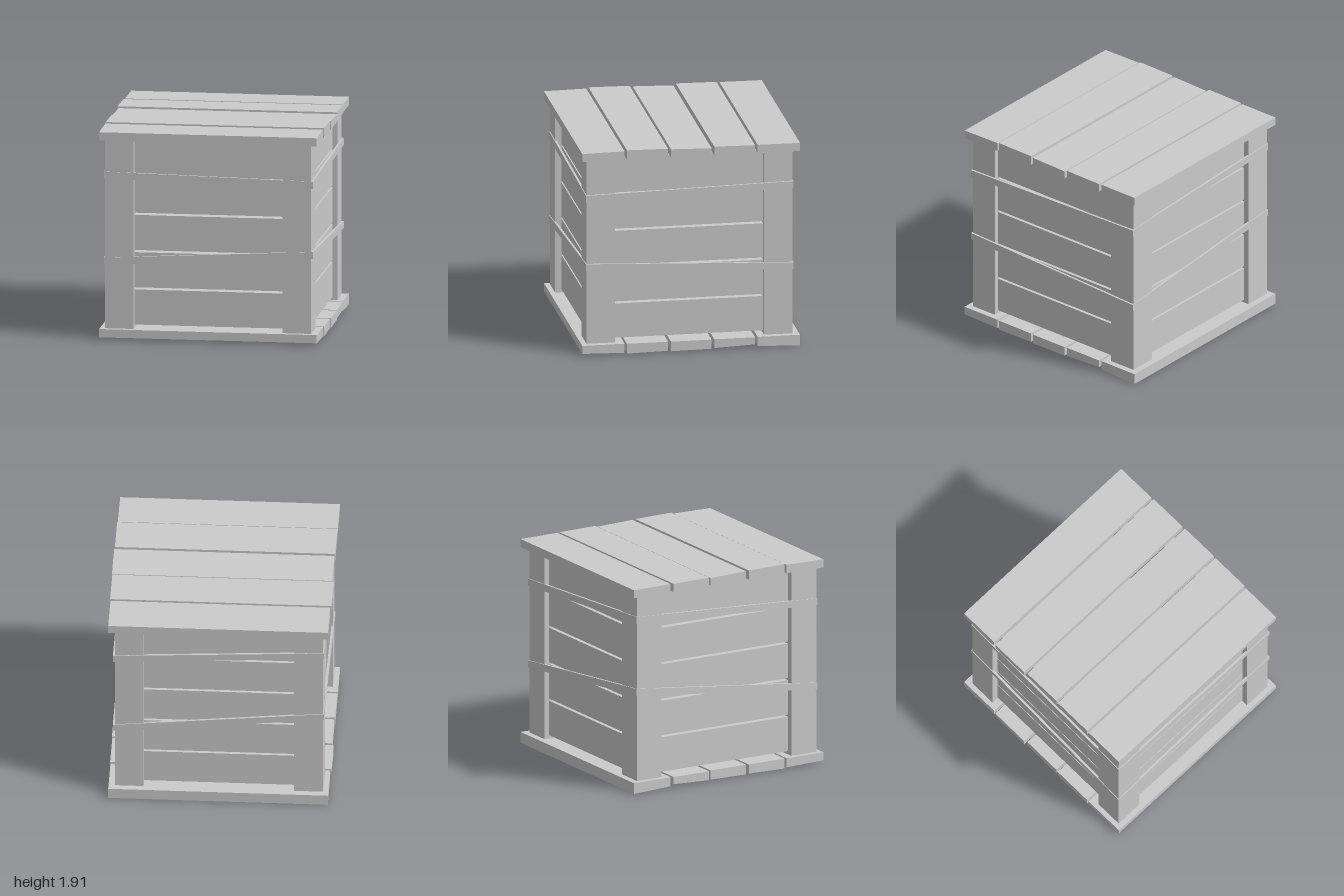
import * as THREE from 'three';

const material = new THREE.MeshStandardMaterial({ color: 0xcccccc, flatShading: true, side: THREE.DoubleSide });

// Box between two corners, with an optional rule that moves its vertices
function block(name, [x0, y0, z0], [x1, y1, z1], rule) {
  const geo = new THREE.BoxGeometry(x1 - x0, y1 - y0, z1 - z0);
  geo.translate((x0 + x1) / 2, (y0 + y1) / 2, (z0 + z1) / 2);
  if (rule) {
    const p = geo.attributes.position;
    const v = new THREE.Vector3();
    for (let i = 0; i < p.count; i++) {
      rule(v.fromBufferAttribute(p, i));
      p.setXYZ(i, v.x, v.y, v.z);
    }
    geo.computeVertexNormals();
  }
  const mesh = new THREE.Mesh(geo, material);
  mesh.name = name;
  return mesh;
}

export function createModel() {
  const crate = new THREE.Group();
  crate.name = 'crate';

  // Lid and floor boards: z range, x ends, outer height at the front and back edge
  const boards = [
    { z: [0.605, 0.99], x: [-0.985, 0.985], lid: [1.895, 1.9], floor: [0.025, 0.015] },
    { z: [0.21, 0.585], x: [-0.985, 0.99], lid: [1.91, 1.905], floor: [0.008, 0.015] },
    { z: [-0.185, 0.185], x: [-0.98, 0.995], lid: [1.9, 1.89], floor: [0.01, 0.015] },
    { z: [-0.58, -0.21], x: [-0.995, 0.99], lid: [1.902, 1.897], floor: [0.018, 0.033] },
    { z: [-0.99, -0.605], x: [-0.985, 0.985], lid: [1.897, 1.895], floor: [0.015, 0] },
  ];
  for (const { z, x, lid, floor } of boards) {
    const mid = (z[0] + z[1]) / 2;
    crate.add(block('lidBoard', [x[0], 1.82, z[0]], [x[1], 1.9, z[1]], (v) => {
      if (v.y > 1.85) v.y = v.z > mid ? lid[0] : lid[1];
    }));
    crate.add(block('floorBoard', [x[0], 0.02, z[0]], [x[1], 0.1, z[1]], (v) => {
      if (v.y < 0.05) v.y = v.z > mid ? floor[0] : floor[1];
    }));
  }

  // Corner posts
  for (const [x0, x1] of [[-0.94, -0.68], [0.67, 0.928]]) {
    for (const [z0, z1] of [[-0.93, -0.672], [0.682, 0.942]]) {
      crate.add(block('cornerPost', [x0, 0.1, z0], [x1, 1.82, z1]));
    }
  }

  // Recessed wall planks, five on each side
  for (let i = 0; i < 5; i++) {
    const y0 = 0.13 + i * 0.34;
    const y1 = i === 4 ? 1.815 : y0 + 0.32;
    for (const [a, b] of [[-0.88, -0.77], [0.765, 0.885]]) {
      crate.add(block('endPlank', [a, y0, -0.7], [b, y1, 0.7]));
      crate.add(block('wallPlank', [-0.7, y0, a], [0.7, y1, b]));
    }
  }

  // Crooked straps: bottom height at each corner, from front -x round by +x to the back
  const corners = [[-0.946, 0.949], [0.946, 0.949], [0.946, -0.938], [-0.946, -0.938]];
  const t = 0.02;
  for (const heights of [[1.465, 1.425, 1.465, 1.565], [0.68, 0.785, 0.705, 0.895]]) {
    for (let i = 0; i < 4; i++) {
      const j = (i + 1) % 4;
      const [ax, az] = corners[i];
      const [bx, bz] = corners[j];
      const alongX = az === bz;
      const inX = alongX ? 0 : -Math.sign(ax) * t;
      const inZ = alongX ? -Math.sign(az) * t : 0;
      const min = [Math.min(ax, bx, ax + inX), 0, Math.min(az, bz, az + inZ)];
      const max = [Math.max(ax, bx, ax + inX), 0.064, Math.max(az, bz, az + inZ)];
      crate.add(block('strap', min, max, (v) => {
        const k = alongX ? (v.x - ax) / (bx - ax) : (v.z - az) / (bz - az);
        v.y += heights[i] + (heights[j] - heights[i]) * k;
      }));
    }
  }
  return crate;
}
